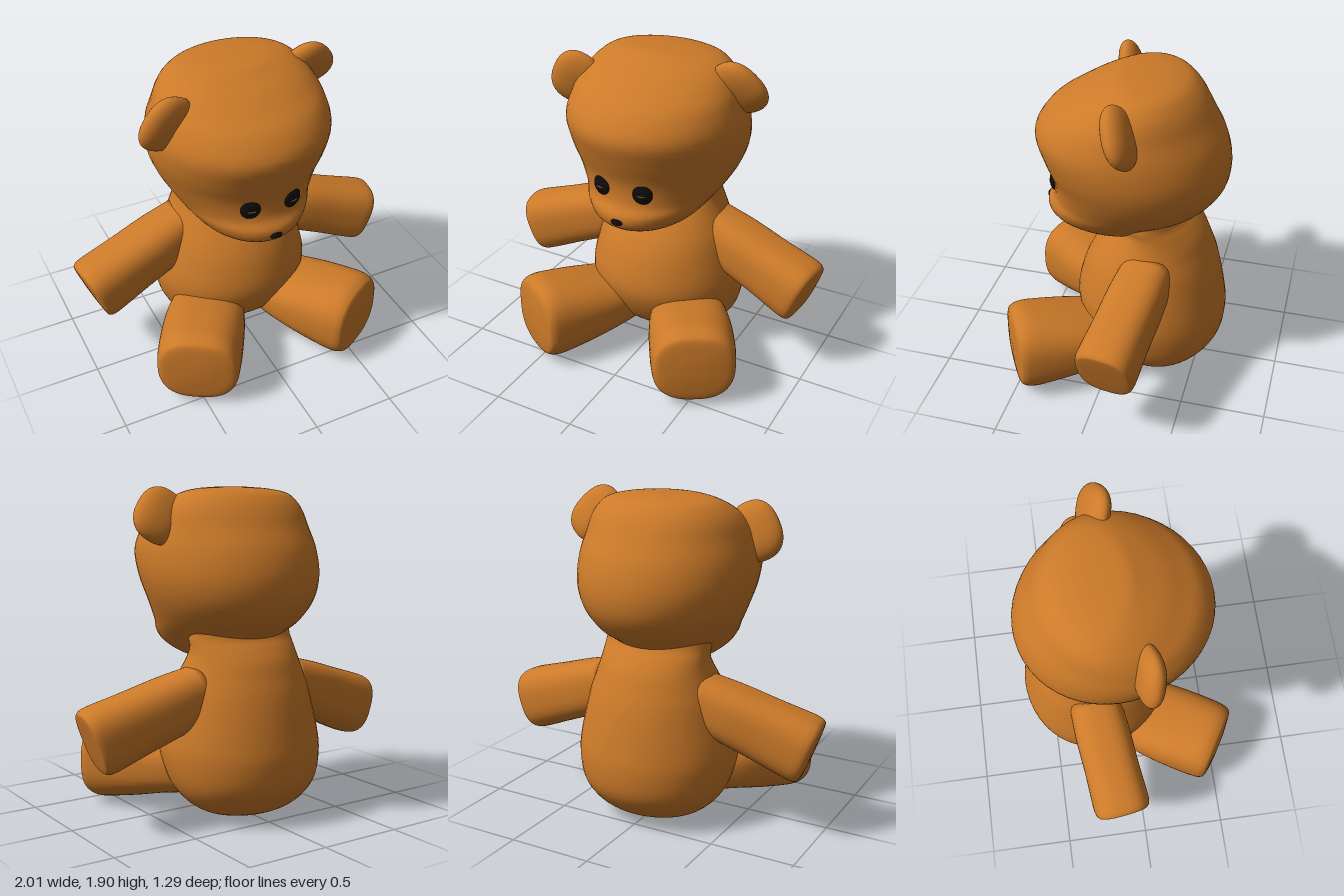
import * as THREE from 'three';

const SEG = 48;
const fur = new THREE.MeshStandardMaterial({ color: 0xcc7a29 });
const black = new THREE.MeshStandardMaterial({ color: 0x0c0c0c });
const V = (x, y, z) => new THREE.Vector3(x, y, z);

// Superellipse helper: power 2 is round, larger is squarer.
const bend = (v, power) => Math.sign(v) * Math.abs(v) ** (2 / power);

// Smoothly resample rows of up to four numbers.
function resample(rows, count) {
  const curve = (pts) => new THREE.CatmullRomCurve3(pts, false, 'catmullrom', 0.5);
  const a = curve(rows.map((r) => V(r[0], r[1], r[2])));
  const b = curve(rows.map((r) => V(r[3] ?? 0, 0, 0)));
  return Array.from({ length: count + 1 }, (_, i) => {
    const p = a.getPoint(i / count);
    return [p.x, p.y, p.z, b.getPoint(i / count).x];
  });
}

// Smooth closed skin over a stack of rings.
function skin(name, rings) {
  const pos = [], idx = [], n = rings.length;
  rings.forEach((ring) => ring.forEach((p) => pos.push(p.x, p.y, p.z)));
  for (let i = 0; i < n - 1; i++) {
    for (let j = 0; j < SEG; j++) {
      const k = (j + 1) % SEG;
      const a = i * SEG + j, b = i * SEG + k, c = a + SEG, d = b + SEG;
      idx.push(a, b, c, b, d, c);
    }
  }
  [0, n - 1].forEach((r) => {
    const mid = V(0, 0, 0);
    rings[r].forEach((p) => mid.addScaledVector(p, 1 / SEG));
    const m = pos.length / 3;
    pos.push(mid.x, mid.y, mid.z);
    for (let j = 0; j < SEG; j++) {
      const a = r * SEG + j, b = r * SEG + (j + 1) % SEG;
      if (r) idx.push(a, b, m); else idx.push(b, a, m);
    }
  });
  const geo = new THREE.BufferGeometry();
  geo.setAttribute('position', new THREE.Float32BufferAttribute(pos, 3));
  geo.setIndex(idx);
  geo.computeVertexNormals();
  const mesh = new THREE.Mesh(geo, fur);
  mesh.name = name;
  return mesh;
}

const loop = (fn) => Array.from({ length: SEG }, (_, j) => {
  const t = (j / SEG) * Math.PI * 2;
  return fn(Math.cos(t), Math.sin(t));
});

// Upright form from rows [y, front z, back z, half width].
function torso(name, rows, lean) {
  return skin(name, resample(rows, rows.length * 4).map(([y, zf, zb, w]) => {
    const mid = zf * (1 - lean) + zb * lean;
    return loop((c, s) => V(s * w, y, mid + c * (c > 0 ? zf - mid : mid - zb)));
  }));
}

// Limb along a line from rows [t, half height, half width].
function limb(name, from, to, power, rows) {
  const dir = to.clone().sub(from).normalize();
  const side = dir.clone().cross(V(0, 1, 0)).normalize();
  const up = side.clone().cross(dir);
  return skin(name, resample(rows, rows.length * 4).map(([t, h, w]) => {
    const mid = from.clone().lerp(to, t);
    return loop((c, s) => mid.clone()
      .addScaledVector(up, bend(c, power) * h)
      .addScaledVector(side, bend(s, power) * w));
  }));
}

// Flattened ear pad: "out" points away from the head, "down" runs along its root.
function ear(name, center, out, down) {
  const o = out.normalize();
  const d = down.addScaledVector(o, -down.dot(o)).normalize();
  const geo = new THREE.SphereGeometry(1, 40, 28);
  const p = geo.attributes.position;
  for (let i = 0; i < p.count; i++) {
    p.setXYZ(i, bend(p.getX(i), 2.4) * 0.145, bend(p.getY(i), 2.4) * 0.175, p.getZ(i) * 0.07);
  }
  geo.applyMatrix4(new THREE.Matrix4().makeBasis(o, d, o.clone().cross(d)).setPosition(center));
  geo.computeVertexNormals();
  const mesh = new THREE.Mesh(geo, fur);
  mesh.name = name;
  return mesh;
}

// Small flattened button.
function button(name, material, center, size, yaw = 0, pitch = 0) {
  const mesh = new THREE.Mesh(new THREE.SphereGeometry(1, 28, 18), material);
  mesh.name = name;
  mesh.position.copy(center);
  mesh.scale.copy(size);
  mesh.rotation.set(pitch, yaw, 0);
  return mesh;
}

export function createModel() {
  const bear = new THREE.Group();
  bear.name = 'teddyBear';

  bear.add(torso('body', [
    [0.005, -0.22, -0.32, 0.06], [0.03, -0.12, -0.41, 0.19], [0.07, -0.04, -0.5, 0.3],
    [0.14, 0.07, -0.58, 0.39], [0.24, 0.17, -0.64, 0.45], [0.38, 0.24, -0.655, 0.48],
    [0.5, 0.255, -0.64, 0.475], [0.65, 0.22, -0.61, 0.44], [0.76, 0.17, -0.58, 0.41],
    [0.85, 0.11, -0.545, 0.375], [0.93, 0.05, -0.51, 0.345], [1.0, 0.0, -0.46, 0.33],
    [1.06, 0.0, -0.41, 0.33], [1.15, -0.05, -0.38, 0.32],
  ], 0.5));

  bear.add(torso('head', [
    [0.88, 0.12, -0.08, 0.06], [0.9, 0.2, -0.18, 0.13], [0.94, 0.33, -0.27, 0.22],
    [1.0, 0.425, -0.34, 0.3], [1.07, 0.44, -0.43, 0.36], [1.14, 0.4, -0.53, 0.41],
    [1.26, 0.4, -0.615, 0.475], [1.4, 0.45, -0.635, 0.52], [1.55, 0.49, -0.6, 0.525],
    [1.68, 0.415, -0.53, 0.49], [1.76, 0.3, -0.485, 0.455], [1.82, 0.2, -0.44, 0.41],
    [1.87, 0.09, -0.38, 0.34], [1.895, 0.03, -0.29, 0.23], [1.905, -0.03, -0.2, 0.1],
  ], 0.5));

  for (const [side, s] of [['left', 1], ['right', -1]]) {
    bear.add(limb(`${side}Arm`, V(0.27 * s, 0.765, -0.235), V(0.945 * s, 0.52, -0.14), 2.7, [
      [0, 0.15, 0.15], [0.3, 0.17, 0.165], [0.6, 0.18, 0.165], [0.85, 0.19, 0.17],
      [0.94, 0.19, 0.17], [0.985, 0.18, 0.16], [1, 0.155, 0.135], [1.005, 0.05, 0.04],
    ]));
    bear.add(limb(`${side}Leg`, V(0.2 * s, 0.265, -0.06), V(0.55 * s, 0.265, 0.53), 2.6, [
      [0, 0.145, 0.19], [0.25, 0.165, 0.235], [0.5, 0.2, 0.25], [0.75, 0.23, 0.25],
      [0.88, 0.24, 0.245], [0.96, 0.225, 0.235], [1, 0.19, 0.2], [1.02, 0.06, 0.07],
    ]));
    // Eye button with a small stitch across it
    bear.add(button(`${side}Eye`, black, V(0.13 * s, 1.215, 0.372), V(0.058, 0.06, 0.026), 0.25 * s, 0.06));
    bear.add(button(`${side}EyeStitch`, fur, V(0.132 * s, 1.213, 0.396), V(0.026, 0.005, 0.006), 0.25 * s));
  }

  // The two ears sit at slightly different angles
  bear.add(ear('leftEar', V(0.475, 1.745, -0.11), V(0.78, 0.56, 0.28), V(0.45, -0.8, -0.35)));
  bear.add(ear('rightEar', V(-0.48, 1.69, 0.06), V(-0.86, 0.45, 0.22), V(-0.38, -0.85, -0.15)));

  bear.add(button('nose', black, V(0, 1.04, 0.438), V(0.037, 0.019, 0.02)));
  return bear;
}
